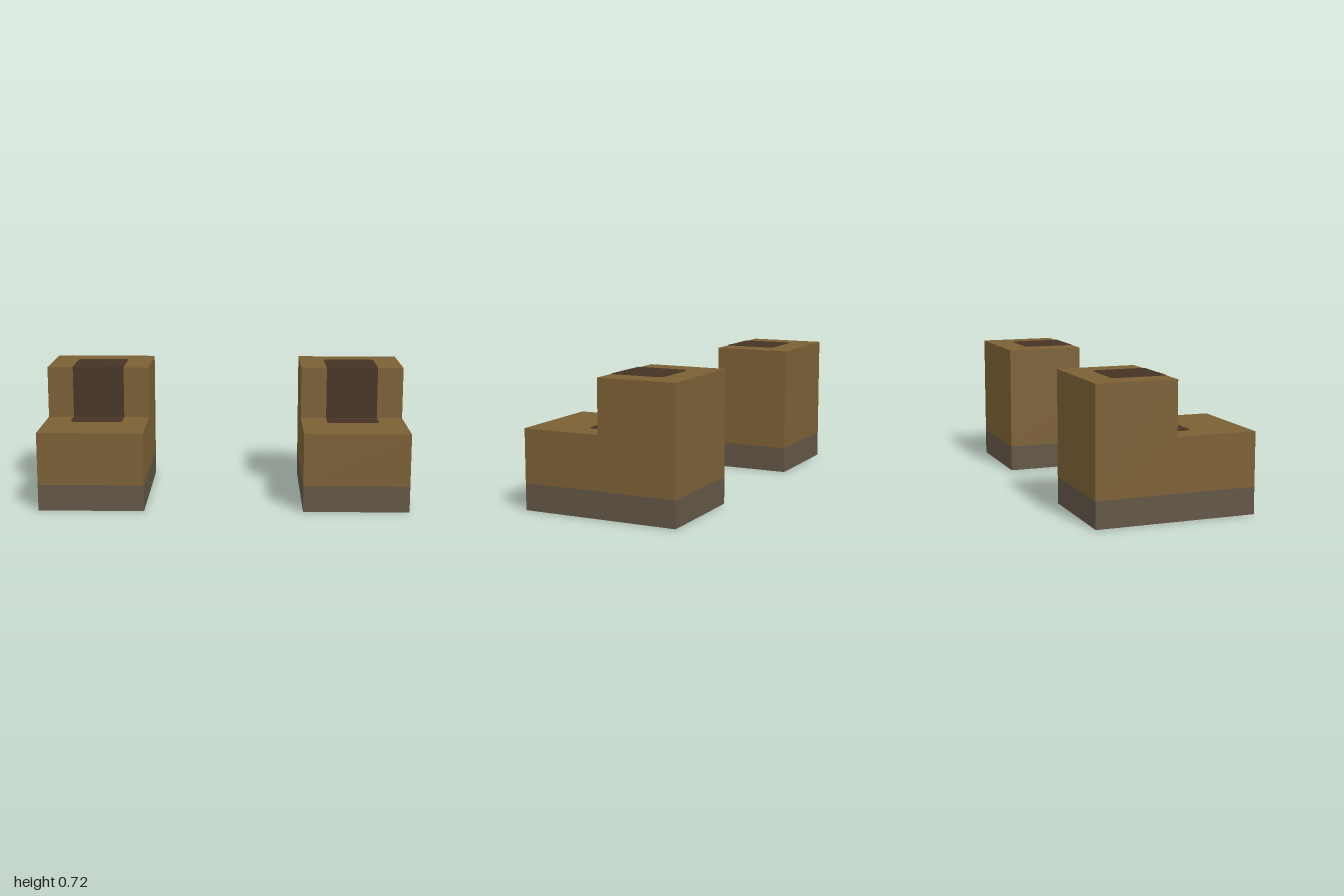
import * as THREE from 'three';

const U = 1 / 7;            // base module
const WIDTH = 4 * U;        // boot width
const HALF = 3 * U;         // half of the boot length
const THIN = 0.003;         // thickness of painted plates

const leather = new THREE.MeshStandardMaterial({ color: 0x7c6035 });
leather.name = 'brown leather';
const soleGrey = new THREE.MeshStandardMaterial({ color: 0x625646 });
soleGrey.name = 'grey sole';
const darkBrown = new THREE.MeshStandardMaterial({ color: 0x463424 });
darkBrown.name = 'dark brown';

function addMesh(parent, name, geometry, material, x = 0, y = 0, z = 0) {
  const mesh = new THREE.Mesh(geometry, material);
  mesh.name = name;
  mesh.position.set(x, y, z);
  parent.add(mesh);
}

// Thin plate lying flat, square at z = 0 and rounded at its far end (-z)
function tongueGeometry(length) {
  const w = U, r = 0.025;
  const s = new THREE.Shape();
  s.moveTo(-w, 0);
  s.lineTo(w, 0);
  s.lineTo(w, length - r);
  s.absarc(w - r, length - r, r, 0, Math.PI / 2);
  s.lineTo(-w + r, length);
  s.absarc(-w + r, length - r, r, Math.PI / 2, Math.PI);
  s.closePath();
  return new THREE.ExtrudeGeometry(s, { depth: THIN, bevelEnabled: false, curveSegments: 5 })
    .rotateX(-Math.PI / 2);
}

// Stepped side profile of foot and shaft, extruded across the width
function upperGeometry() {
  const s = new THREE.Shape([
    [-HALF, U], [HALF, U], [HALF, 3 * U], [0, 3 * U], [0, 5 * U], [-HALF, 5 * U],
  ].map(([z, y]) => new THREE.Vector2(z, y)));
  return new THREE.ExtrudeGeometry(s, { depth: WIDTH, bevelEnabled: false })
    .rotateY(-Math.PI / 2).translate(WIDTH / 2, 0, 0);
}

function createBoot(name) {
  const boot = new THREE.Group();
  boot.name = name;
  addMesh(boot, 'sole', new THREE.BoxGeometry(WIDTH, U, 2 * HALF), soleGrey, 0, U / 2, 0);
  addMesh(boot, 'upper', upperGeometry(), leather);

  // Dark panel running over the top, down the shaft and onto the foot
  addMesh(boot, 'topPanel', tongueGeometry(2 * U), darkBrown, 0, 5 * U, 0);
  addMesh(boot, 'shaftPanel', new THREE.BoxGeometry(2 * U, 2 * U, THIN), darkBrown, 0, 4 * U, THIN / 2);
  addMesh(boot, 'footPanel', tongueGeometry(0.135).rotateY(Math.PI), darkBrown, 0, 3 * U, 0);
  return boot;
}

export function createModel() {
  const model = new THREE.Group();
  model.name = 'boots';
  for (const [name, side] of [['leftBoot', 1], ['rightBoot', -1]]) {
    const boot = createBoot(name);
    boot.position.x = side * 5 * U;
    model.add(boot);
  }
  return model;
}
